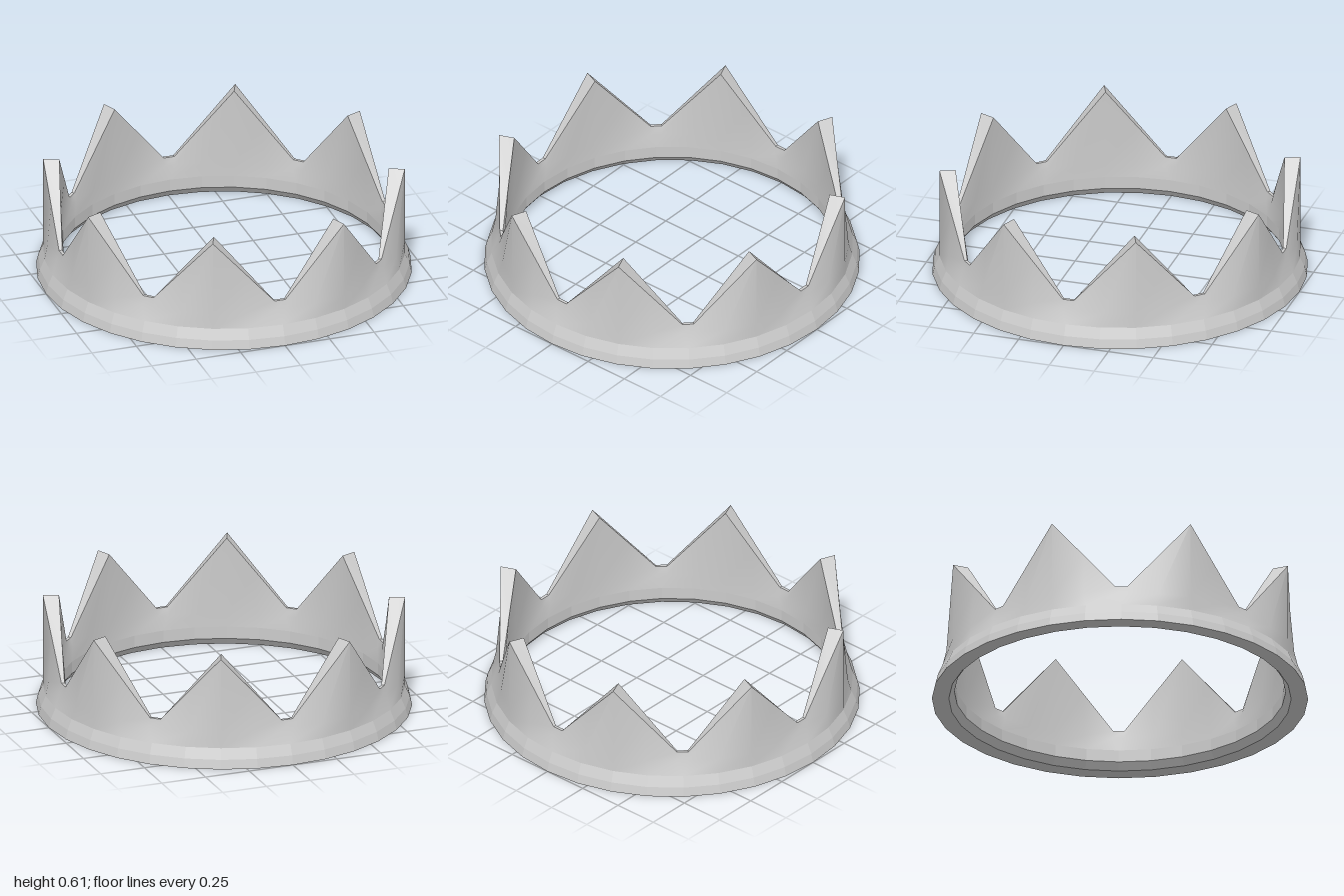
import * as THREE from 'three';
import { toCreasedNormals } from 'three/addons/utils/BufferGeometryUtils.js';

const SPIKES = 8;
const STEP = Math.PI / 16; // one of 32 facets
const VALLEY = 0.033; // half angle of the flat valley floor

const at = (r, a, y) => new THREE.Vector3(r * Math.sin(a), y, r * Math.cos(a));

// Cross-section of the spiked wall at t (0 = valley, 1 = tip): up the outside, down the inside
function section(centre, side, t) {
  const lowAngle = centre + side * t * 2 * STEP;
  const valleyAngle = centre + side * VALLEY;
  const tipAngle = centre + side * 2 * STEP;
  const edge = (rValley, rTip, yValley, yTip) =>
    at(rValley, valleyAngle, yValley).lerp(at(rTip, tipAngle, yTip), t);
  const midAngle = THREE.MathUtils.lerp(valleyAngle, tipAngle, t);
  return [
    at(0.963, lowAngle, 0.107),
    at(THREE.MathUtils.lerp(0.928, 0.963, t), midAngle, 0.185),
    edge(0.917, 0.963, 0.23, 0.61),
    edge(0.9, 0.877, 0.23, 0.61),
    at(THREE.MathUtils.lerp(0.89, 0.88, t), midAngle, 0.185),
    at(0.88, lowAngle, 0.107),
  ];
}

function spikesGeometry() {
  const columns = [];
  for (let k = 0; k < SPIKES; k++) {
    const centre = k * 4 * STEP;
    columns.push(
      section(centre, -1, 0),
      section(centre, 1, 0),
      section(centre, 1, 0.5),
      section(centre, 1, 1),
      section(centre + 4 * STEP, -1, 0.5),
    );
  }
  const positions = [];
  const triangle = (a, b, c) => {
    if (new THREE.Triangle(a, b, c).getArea() < 1e-7) return;
    for (const p of [a, b, c]) positions.push(p.x, p.y, p.z);
  };
  columns.forEach((left, i) => {
    const right = columns[(i + 1) % columns.length];
    for (let j = 0; j < left.length - 1; j++) {
      triangle(left[j], right[j], right[j + 1]);
      triangle(left[j], right[j + 1], left[j + 1]);
    }
  });
  const geometry = new THREE.BufferGeometry();
  geometry.setAttribute('position', new THREE.Float32BufferAttribute(positions, 3));
  return toCreasedNormals(geometry, 0.6);
}

export function createModel() {
  const group = new THREE.Group();
  group.name = 'crown';

  // Faceted base band: inside wall, chamfer, underside, flared outside
  const profile = [
    [0.88, 0.107], [0.88, 0.04], [0.91, 0], [1, 0], [0.988, 0.05], [0.963, 0.107],
  ].map(([r, y]) => new THREE.Vector2(r, y));
  const band = new THREE.Mesh(
    new THREE.LatheGeometry(profile, 32),
    new THREE.MeshStandardMaterial({ color: 0xcccccc, flatShading: true }),
  );
  band.name = 'baseBand';
  group.add(band);

  // Ring of eight points rising from the band
  const spikes = new THREE.Mesh(
    spikesGeometry(),
    new THREE.MeshStandardMaterial({ color: 0xcccccc }),
  );
  spikes.name = 'spikes';
  group.add(spikes);

  return group;
}
